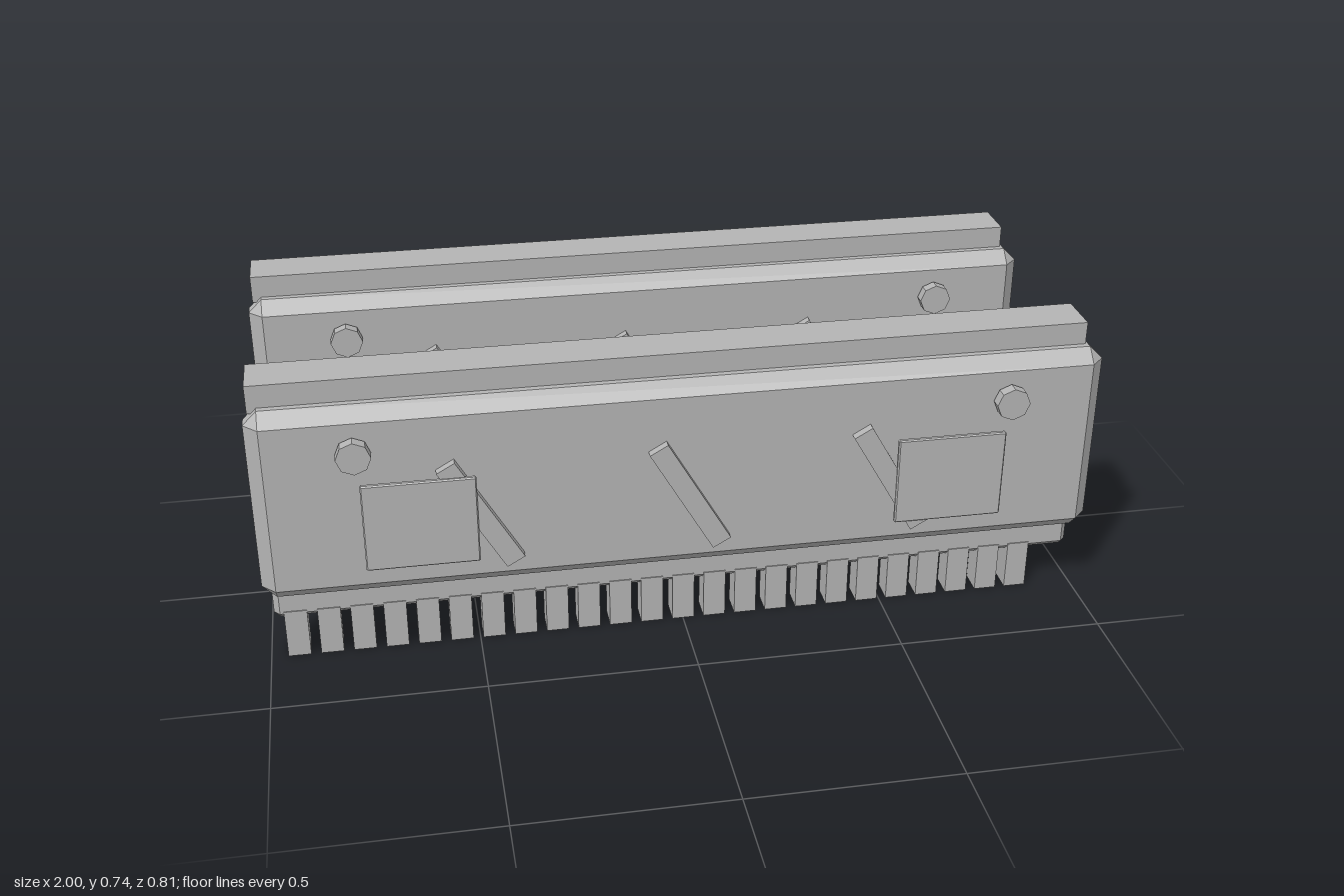
import * as THREE from 'three';
import { ConvexGeometry } from 'three/addons/geometries/ConvexGeometry.js';

const grey = new THREE.MeshStandardMaterial({ color: 0xb4b4b4 });
grey.name = 'plain grey';

// Box with every edge and corner cut at 45 degrees
function chamferBox(w, h, d, c) {
  const points = [];
  for (const x of [-1, 1]) for (const y of [-1, 1]) for (const z of [-1, 1]) {
    for (let axis = 0; axis < 3; axis++) {
      const inset = [c, c, c];
      inset[axis] = 0;
      points.push(new THREE.Vector3(
        x * (w / 2 - inset[0]), y * (h / 2 - inset[1]), z * (d / 2 - inset[2])));
    }
  }
  return new ConvexGeometry(points);
}

function add(parent, name, geometry, x, y, z) {
  const mesh = new THREE.Mesh(geometry, grey);
  mesh.name = name;
  mesh.position.set(x, y, z);
  parent.add(mesh);
  return mesh;
}

const boardGeo = chamferBox(1.966, 0.53, 0.056, 0.014);
const shellGeo = chamferBox(2, 0.486, 0.097, 0.033);
const railGeo = new THREE.BoxGeometry(1.95, 0.068, 0.112);
const pinGeo = new THREE.BoxGeometry(0.054, 0.125, 0.061);
const plateGeo = chamferBox(0.262, 0.222, 0.013, 0.003);
const stripeGeo = new THREE.BoxGeometry(0.049, 0.302, 0.027);
const rivetGeo = new THREE.CylinderGeometry(0.04, 0.04, 0.028, 8).toNonIndexed();
rivetGeo.rotateX(Math.PI / 2);
rivetGeo.rotateZ(Math.PI / 2);
rivetGeo.computeVertexNormals();

function createStick(name) {
  const stick = new THREE.Group();
  stick.name = name;

  add(stick, 'circuitBoard', boardGeo, 0, 0.37, 0.266);
  add(stick, 'heatSpreader', shellGeo, 0, 0.439, 0.321);
  add(stick, 'topRail', railGeo, -0.014, 0.703, 0.265);

  // Row of contacts along the bottom edge
  const pins = new THREE.Group();
  pins.name = 'contactPins';
  for (let i = 0; i < 24; i++) {
    add(pins, 'contactPin', pinGeo, -0.933 + i * 0.0778, 0.0625, 0.266);
  }
  stick.add(pins);

  // Slanted ribs across the face
  for (const x of [-0.488, 0, 0.484]) {
    add(stick, 'slantedRib', stripeGeo, x, 0.397, 0.377).rotation.z = Math.PI / 6;
  }

  // Rivets and square plates on both sides
  for (const side of [-1, 1]) {
    add(stick, 'rivet', rivetGeo, side * 0.765, 0.578, 0.39);
    add(stick, 'squarePlate', plateGeo, side * 0.626, 0.391, 0.39);
  }
  return stick;
}

export function createModel() {
  const model = new THREE.Group();
  model.name = 'memoryModulePair';
  const front = createStick('frontModule');
  const back = createStick('backModule');
  back.position.z = -0.611;
  model.add(front, back);
  return model;
}
